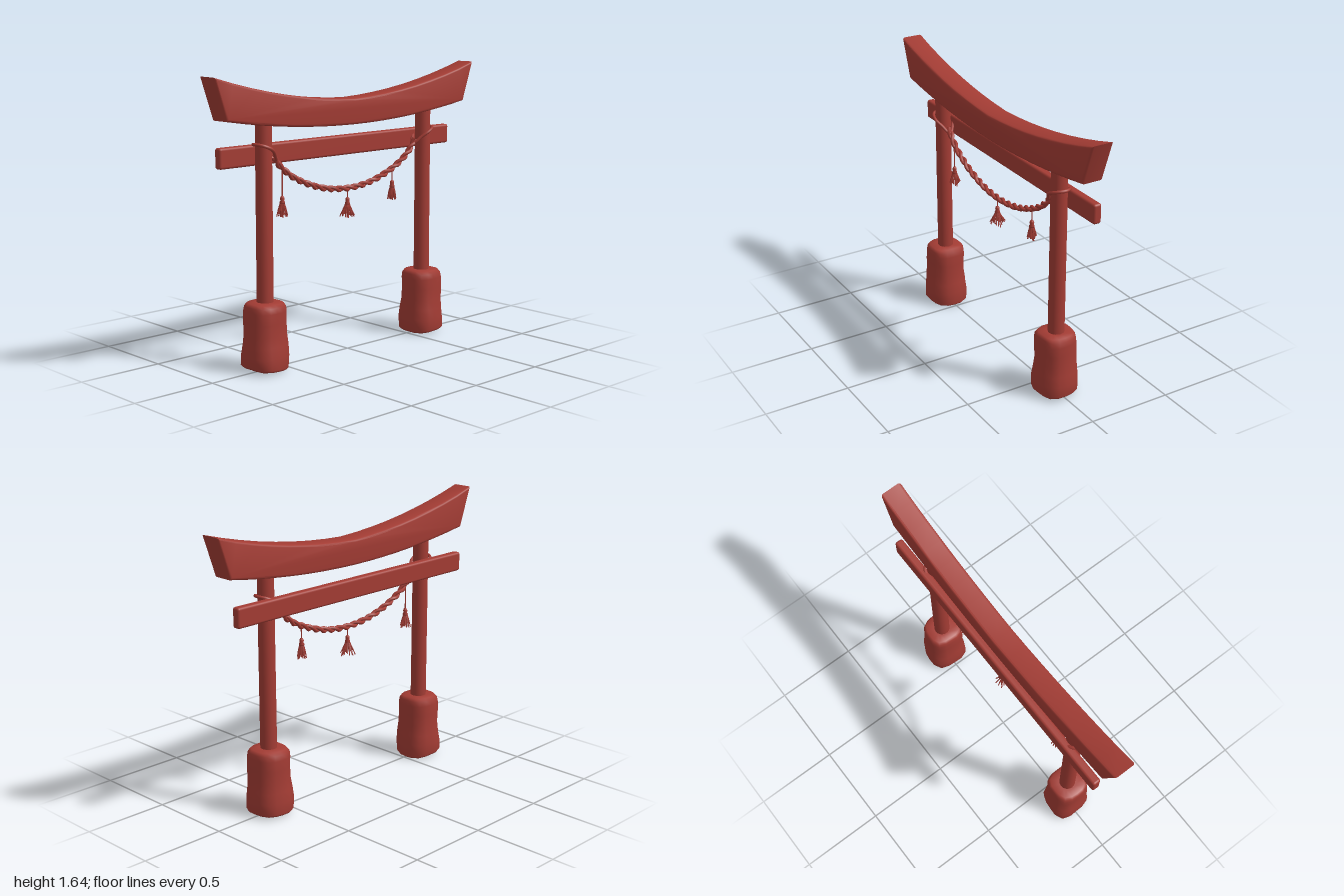
import * as THREE from 'three';
import { mergeVertices, mergeGeometries, toCreasedNormals } from 'three/addons/utils/BufferGeometryUtils.js';
import { RoundedBoxGeometry } from 'three/addons/geometries/RoundedBoxGeometry.js';

const V = (x, y, z) => new THREE.Vector3(x, y, z);
const paint = new THREE.MeshStandardMaterial({ color: 0xa33c34 });

function add(parent, name, geometry) {
  const mesh = new THREE.Mesh(geometry, paint);
  mesh.name = name;
  parent.add(mesh);
  return mesh;
}

function tube(points, radius, segments, sides = 8, closed = false) {
  return new THREE.TubeGeometry(new THREE.CatmullRomCurve3(points, closed), segments, radius, sides, closed);
}

// Upswept top beam: curved side profile extruded with a soft bevel
function topBeam() {
  const top = x => 1.478 + 0.032 * Math.abs(x) + 0.135 * x * x;
  const bottom = x => 1.33 + 0.094 * x * x;
  const shape = new THREE.Shape();
  const n = 16;
  for (let i = 0; i <= n; i++) {
    const x = 0.92 * (i / n * 2 - 1);
    shape[i ? 'lineTo' : 'moveTo'](x, bottom(x));
  }
  for (let i = 0; i <= n; i++) {
    const x = 1 - 2 * i / n;
    shape.lineTo(x, top(x));
  }
  const bevel = 0.014;
  const geometry = new THREE.ExtrudeGeometry(shape, {
    depth: 0.13 - 2 * bevel, bevelThickness: bevel, bevelSize: bevel, bevelOffset: -bevel, bevelSegments: 3,
  });
  geometry.translate(0, 0, -0.065 + bevel);
  return toCreasedNormals(geometry, 0.65);
}

// Worn foundation stone: rounded-square lathe with gentle dents
function stone(seed) {
  const profile = [[0, 0.016], [0.06, 0.014], [0.108, 0.012], [0.117, 0.024], [0.118, 0.09], [0.112, 0.15],
    [0.106, 0.21], [0.106, 0.28], [0.106, 0.34], [0.102, 0.37], [0.09, 0.388], [0.05, 0.391], [0, 0.391]];
  let geometry = new THREE.LatheGeometry(profile.map(p => new THREE.Vector2(...p)), 16);
  geometry.deleteAttribute('uv');
  geometry.deleteAttribute('normal');
  geometry = mergeVertices(geometry, 1e-4);
  const p = geometry.attributes.position;
  for (let i = 0; i < p.count; i++) {
    const x = p.getX(i), y = p.getY(i), z = p.getZ(i);
    const a = Math.atan2(z, x);
    const square = Math.pow(Math.abs(Math.cos(a)) ** 3.2 + Math.abs(Math.sin(a)) ** 3.2, -1 / 3.2);
    const dent = 1 + 0.045 * Math.sin(3 * a + seed + y * 9) * Math.sin(y * 13 + seed);
    const tilt = y < 0.03 ? 0.06 * x * seed : 0;
    p.setXYZ(i, x * square * dent, y + tilt, z * square * dent);
  }
  geometry.computeVertexNormals();
  return geometry;
}

// Centre line of the hanging rope
const ropeCurve = new THREE.CatmullRomCurve3([
  V(-0.56, 1.195, 0), V(-0.5, 1.125, 0), V(-0.4, 1.055, 0), V(-0.2, 0.98, 0), V(0, 0.957, 0),
  V(0.2, 0.98, 0), V(0.4, 1.055, 0), V(0.5, 1.125, 0), V(0.56, 1.195, 0),
]);

// One strand twisted about the centre line
function strand(phase) {
  const points = [], n = 160;
  for (let i = 0; i <= n; i++) {
    const t = i / n, a = phase + t * Math.PI * 2 * 10;
    const c = ropeCurve.getPointAt(t), d = ropeCurve.getTangentAt(t);
    const r = 0.0095;
    points.push(V(c.x - d.y * r * Math.cos(a), c.y + d.x * r * Math.cos(a), r * Math.sin(a)));
  }
  return tube(points, 0.0105, 240, 7);
}

// Tassel hung from a cord: knot, bound neck and a skirt of loose threads
function tassel(name, x, cordTop, top, spread) {
  const group = new THREE.Group();
  group.name = name;
  group.position.set(x, top, 0);
  const cord = add(group, 'tasselCord', new THREE.CylinderGeometry(0.004, 0.004, cordTop - top + 0.01, 6));
  cord.position.y = (cordTop - top) / 2;
  const knot = [[0, -0.045], [0.014, -0.045], [0.016, -0.035], [0.011, -0.028], [0.013, -0.014], [0.009, -0.003], [0, 0]];
  add(group, 'tasselKnot', new THREE.LatheGeometry(knot.map(p => new THREE.Vector2(...p)), 10));
  const threads = [];
  for (let i = 0; i < 24; i++) {
    const a = i * 2.4, reach = spread * Math.sqrt((i + 1) / 24);
    const end = -0.107 + 0.012 * Math.sin(i * 5.3);
    const at = (r, y) => V(Math.cos(a) * r, y, Math.sin(a) * r);
    threads.push(tube([at(0.009, -0.035), at(0.011 + reach * 0.25, -0.065), at(reach, end)], 0.0032, 5, 5));
  }
  add(group, 'tasselThreads', mergeGeometries(threads));
  return group;
}

export function createModel() {
  const model = new THREE.Group();
  model.name = 'gateway';

  add(model, 'topBeam', topBeam());

  // Straight tie beam set behind the pillars
  add(model, 'tieBeam', new RoundedBoxGeometry(1.79, 0.115, 0.05, 3, 0.014)).position.set(0, 1.202, -0.061);

  for (const side of [-1, 1]) {
    const label = side > 0 ? 'left' : 'right';
    const x = side * 0.625;
    add(model, label + 'Pillar', new THREE.CylinderGeometry(0.046, 0.047, 1.03, 20)).position.set(x, 0.865, 0);
    add(model, label + 'Stone', stone(side > 0 ? 0.6 : -1.4)).position.set(x - (side < 0 ? 0.003 : 0), 0, 0);

    // Rope loop around the pillar, drawn down to the hanging rope
    add(model, label + 'RopeLoop', tube([
      V(side * 0.683, 1.266, 0), V(side * 0.66, 1.26, 0.045), V(side * 0.615, 1.24, 0.057),
      V(side * 0.575, 1.208, 0.035), V(side * 0.545, 1.172, 0.008), V(side * 0.545, 1.172, -0.008),
      V(side * 0.575, 1.208, -0.035), V(side * 0.615, 1.24, -0.057), V(side * 0.66, 1.26, -0.045),
    ], 0.0095, 64, 8, true));
  }

  const rope = new THREE.Group();
  rope.name = 'twistedRope';
  add(rope, 'ropeStrandA', strand(0));
  add(rope, 'ropeStrandB', strand(Math.PI));
  model.add(rope);

  model.add(
    tassel('rightTassel', -0.495, 1.12, 0.967, 0.034),
    tassel('middleTassel', 0, 0.965, 0.905, 0.048),
    tassel('leftTassel', 0.365, 1.04, 0.967, 0.028),
  );
  return model;
}
